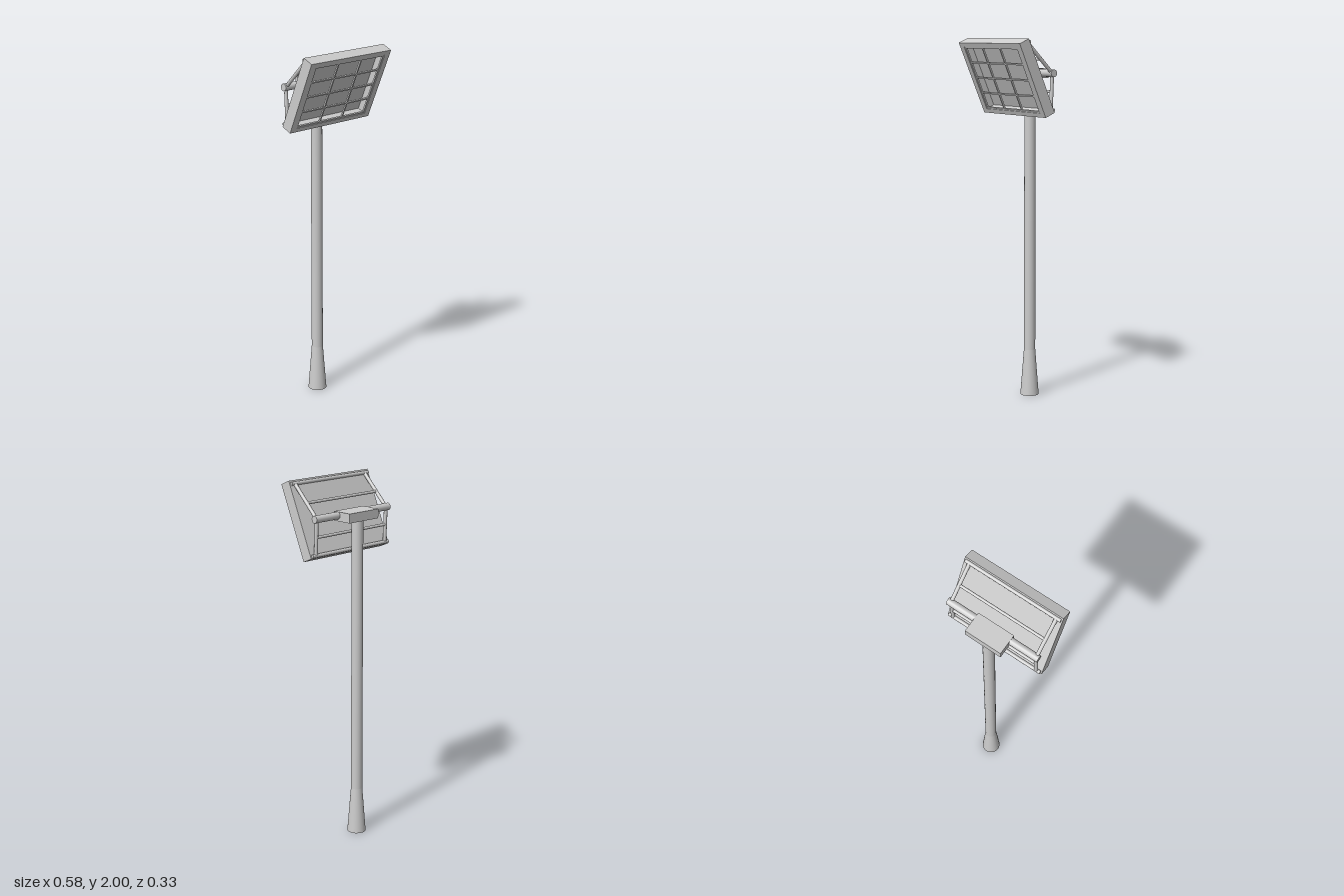
import * as THREE from 'three';

const grey = new THREE.MeshStandardMaterial({ color: 0xcccccc });

function add(parent, name, geometry, x = 0, y = 0, z = 0) {
  const mesh = new THREE.Mesh(geometry, grey);
  mesh.name = name;
  mesh.position.set(x, y, z);
  parent.add(mesh);
  return mesh;
}

// Round bar between two points
function rod(parent, name, from, to, radius) {
  const a = new THREE.Vector3(...from), b = new THREE.Vector3(...to);
  const dir = b.clone().sub(a);
  const mesh = add(parent, name, new THREE.CylinderGeometry(radius, radius, dir.length(), 16));
  mesh.position.copy(a).add(b).multiplyScalar(0.5);
  mesh.quaternion.setFromUnitVectors(new THREE.Vector3(0, 1, 0), dir.normalize());
}

function rectangle(PathType, w, h) {
  return new PathType().setFromPoints([
    new THREE.Vector2(-w / 2, -h / 2), new THREE.Vector2(w / 2, -h / 2),
    new THREE.Vector2(w / 2, h / 2), new THREE.Vector2(-w / 2, h / 2),
  ]);
}

// Lamp housing: open-fronted box with a grille, built upright and then tilted
function createPanel() {
  const panel = new THREE.Group();
  panel.name = 'lampPanel';
  const W = 0.576, H = 0.425, D = 0.064, back = 0.012;
  const w = 0.5, h = 0.375;
  const outline = rectangle(THREE.Shape, W, H);
  outline.holes.push(rectangle(THREE.Path, w, h));
  add(panel, 'housingFrame', new THREE.ExtrudeGeometry(outline, { depth: D - back, bevelEnabled: false }), 0, 0, -D / 2 + back);
  add(panel, 'housingBack', new THREE.BoxGeometry(W, H, back), 0, 0, -D / 2 + back / 2);

  // Grille: border, two uprights and three crossbars
  const t = 0.009, z = D / 2 - 0.008;
  for (let i = 0; i <= 3; i++) {
    const x = (i / 3 - 0.5) * (w - t);
    add(panel, 'grilleUpright', new THREE.BoxGeometry(t, h, t), x, 0, z);
  }
  for (let i = 0; i <= 4; i++) {
    const y = (i / 4 - 0.5) * (h - t);
    add(panel, 'grilleCrossbar', new THREE.BoxGeometry(w, t, t), 0, y, z);
  }
  panel.position.set(0, 1.792, 0.05);
  panel.rotation.x = 0.41;
  return panel;
}

export function createModel() {
  const model = new THREE.Group();
  model.name = 'streetLampPanel';
  const poleZ = -0.113;

  // Pole with flared foot
  const profile = [[0, 0], [0.052, 0], [0.052, 0], [0.032, 0.26], [0.032, 0.26], [0.031, 1.79], [0.031, 1.79], [0, 1.79]]
    .map(([r, y]) => new THREE.Vector2(r, y));
  const foot = new THREE.LatheGeometry(profile.slice(2, 4), 28);
  const shaft = new THREE.LatheGeometry(profile.slice(4, 6), 28);
  add(model, 'poleFoot', foot, 0, 0, poleZ);
  add(model, 'poleShaft', shaft, 0, 0, poleZ);
  const base = add(model, 'poleBase', new THREE.CircleGeometry(0.052, 28), 0, 0, poleZ);
  base.rotation.x = Math.PI / 2;

  // Head block and cross tube
  add(model, 'headBlock', new THREE.BoxGeometry(0.212, 0.05, 0.116), 0, 1.812, -0.104);
  const hinge = [1.817, -0.072], top = [1.983, 0.095], bottom = [1.622, -0.064];
  rod(model, 'crossTube', [-0.272, ...hinge], [0.272, ...hinge], 0.02);

  // Bars along the back of the panel
  rod(model, 'upperBar', [-0.28, ...top], [0.28, ...top], 0.01);
  rod(model, 'lowerBar', [-0.28, ...bottom], [0.28, ...bottom], 0.01);

  // Struts from the cross tube to the panel
  for (const x of [-0.255, 0.255]) {
    rod(model, 'upperStrut', [x, ...hinge], [x, ...top], 0.01);
    rod(model, 'lowerStrut', [x, ...hinge], [x, ...bottom], 0.01);
  }

  // Braces between the struts
  for (const [name, end, f] of [['upperBrace', top, 0.45], ['lowerBrace', bottom, 0.5]]) {
    const p = hinge.map((v, i) => v + (end[i] - v) * f);
    rod(model, name, [-0.25, ...p], [0.25, ...p], 0.008);
  }

  model.add(createPanel());
  return model;
}
